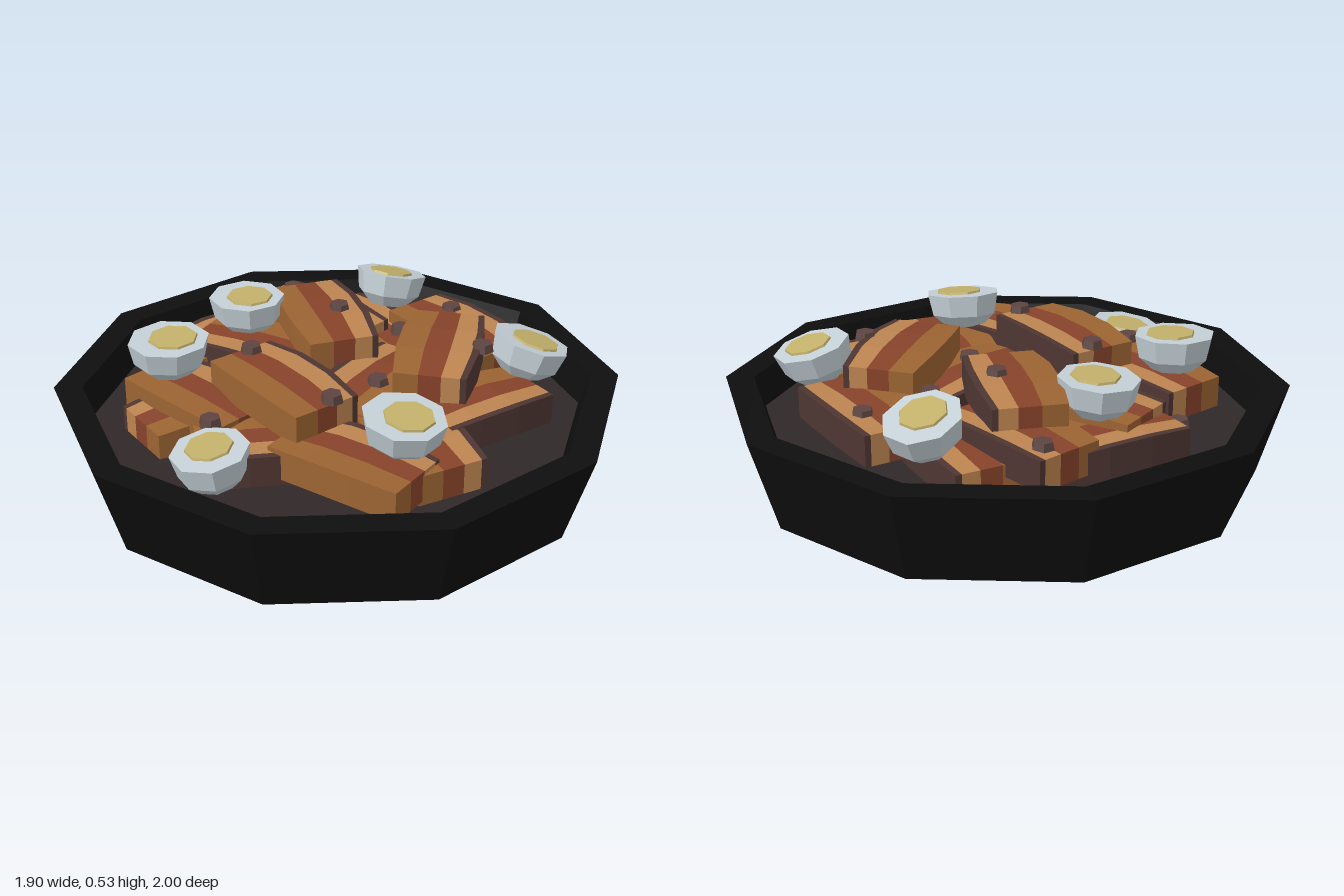
import * as THREE from 'three';

const mat = (color) => new THREE.MeshStandardMaterial({ color, flatShading: true });
const M = {
  bowl: mat(0x0e0e0e), sauce: mat(0x302828), skin: mat(0x4e3632), fat: mat(0xbd8450),
  lean: mat(0x87432a), brown: mat(0x9c6432), white: mat(0xc4d0d6), yolk: mat(0xc2b06a), spice: mat(0x5c4440),
};

function add(parent, name, geometry, material) {
  const mesh = new THREE.Mesh(geometry, material);
  mesh.name = name;
  parent.add(mesh);
  return mesh;
}

// Layers across the width of a meat slice: name, material, start z, end z
const LAYERS = [
  ['meatSkin', M.skin, -0.145, -0.12],
  ['meatFat', M.fat, -0.12, -0.045],
  ['meatLean', M.lean, -0.045, 0.045],
  ['meatEdge', M.brown, 0.045, 0.145],
];
const LENGTH = 0.5, HEIGHT = 0.11;

// A barrel-shaped slice, skin towards local -z, top at y = 0
function meatSlice() {
  const g = new THREE.Group();
  for (const [name, material, z0, z1] of LAYERS) {
    const geo = new THREE.BoxGeometry(LENGTH, HEIGHT, z1 - z0, 3, 1, 1);
    geo.translate(0, -HEIGHT / 2, (z0 + z1) / 2);
    const p = geo.attributes.position;
    for (let i = 0; i < p.count; i++) {
      const end = Math.abs(p.getX(i)) > LENGTH * 0.4 ? 1 : 0;
      p.setZ(i, p.getZ(i) * (1 - 0.13 * end));
      p.setY(i, p.getY(i) - 0.015 * end);
    }
    add(g, name, geo, material);
  }
  return g;
}

// Half egg, cut face at y = 0
function halfEgg() {
  const g = new THREE.Group();
  const cup = [[0, -0.125], [0.075, -0.125], [0.122, -0.08], [0.138, 0], [0, 0]];
  add(g, 'eggWhite', new THREE.LatheGeometry(cup.map(([x, y]) => new THREE.Vector2(x, y)), 8), M.white);
  add(g, 'eggYolk', new THREE.CylinderGeometry(0.082, 0.086, 0.012, 8), M.yolk).position.set(0.015, 0.002, 0);
  g.scale.set(1.04, 1, 0.97);
  return g;
}

export function createModel() {
  const model = new THREE.Group();
  model.name = 'stewBowl';

  // Ten-sided bowl and its sauce surface
  const profile = [[0, 0], [0.9, 0], [1, 0.33], [0.9, 0.33], [0.86, 0.2], [0, 0.2]];
  add(model, 'bowl', new THREE.LatheGeometry(profile.map(([x, y]) => new THREE.Vector2(x, y)), 10), M.bowl);
  add(model, 'sauce', new THREE.CylinderGeometry(0.864, 0.858, 0.02, 10), M.sauce).position.y = 0.21;

  // Meat slices: x, top y, z, turn
  const slices = [
    [0.05, 0.475, 0.28, -0.02], [-0.27, 0.475, -0.15, -0.37], [0.2, 0.48, -0.3, -0.88],
    [0, 0.39, -0.57, -0.03], [-0.44, 0.385, -0.25, 0.13], [-0.55, 0.345, 0.03, 1.52],
    [-0.35, 0.385, 0.08, 3.52], [-0.21, 0.375, 0.45, 0.12], [-0.21, 0.325, 0.43, 1.5],
    [0.1, 0.375, -0.08, 1.88], [0.46, 0.36, 0.04, -0.2], [0.45, 0.375, 0.3, 0.28],
    [0.43, 0.37, -0.25, -1.65], [0.17, 0.345, 0.42, -2.1], [-0.31, 0.33, -0.4, -0.1],
  ];
  for (const [x, y, z, turn] of slices) {
    const s = meatSlice();
    s.name = 'meatSlice';
    s.position.set(x, y, z);
    s.rotation.y = turn;
    model.add(s);
  }

  // Half eggs: x, face y, z, tilt about x, tilt about z, turn
  const eggs = [
    [-0.38, 0.46, -0.57, -0.27, 0.1, -0.9], [0.38, 0.465, -0.57, -0.27, -0.1, 0.3],
    [-0.49, 0.495, 0.04, 0.02, 0.03, 0.2], [0.54, 0.485, 0.16, 0.04, -0.15, 0.6],
    [-0.34, 0.515, 0.48, 0.03, -0.04, 1.2], [0.16, 0.37, 0.66, 0.12, 0.06, 2.6],
  ];
  for (const [x, y, z, rx, rz, turn] of eggs) {
    const tilt = new THREE.Group();
    tilt.name = 'halfEgg';
    tilt.position.set(x, y, z);
    tilt.rotation.set(rx, 0, rz);
    const e = halfEgg();
    e.rotation.y = turn;
    tilt.add(e);
    model.add(tilt);
  }

  // Peppercorns: x, y, z
  const corns = [
    [-0.1, 0.39, -0.63], [-0.08, 0.395, -0.36], [-0.63, 0.385, -0.28], [-0.23, 0.48, -0.19],
    [0.33, 0.48, -0.38], [0.16, 0.385, -0.05], [0.49, 0.37, 0.03], [-0.17, 0.475, 0.25],
    [0.28, 0.475, 0.25], [-0.5, 0.26, 0.38], [0.02, 0.38, 0.56],
  ];
  for (const [x, y, z] of corns) {
    add(model, 'peppercorn', new THREE.CylinderGeometry(0.034, 0.041, 0.03, 6), M.spice).position.set(x, y, z);
  }
  return model;
}
